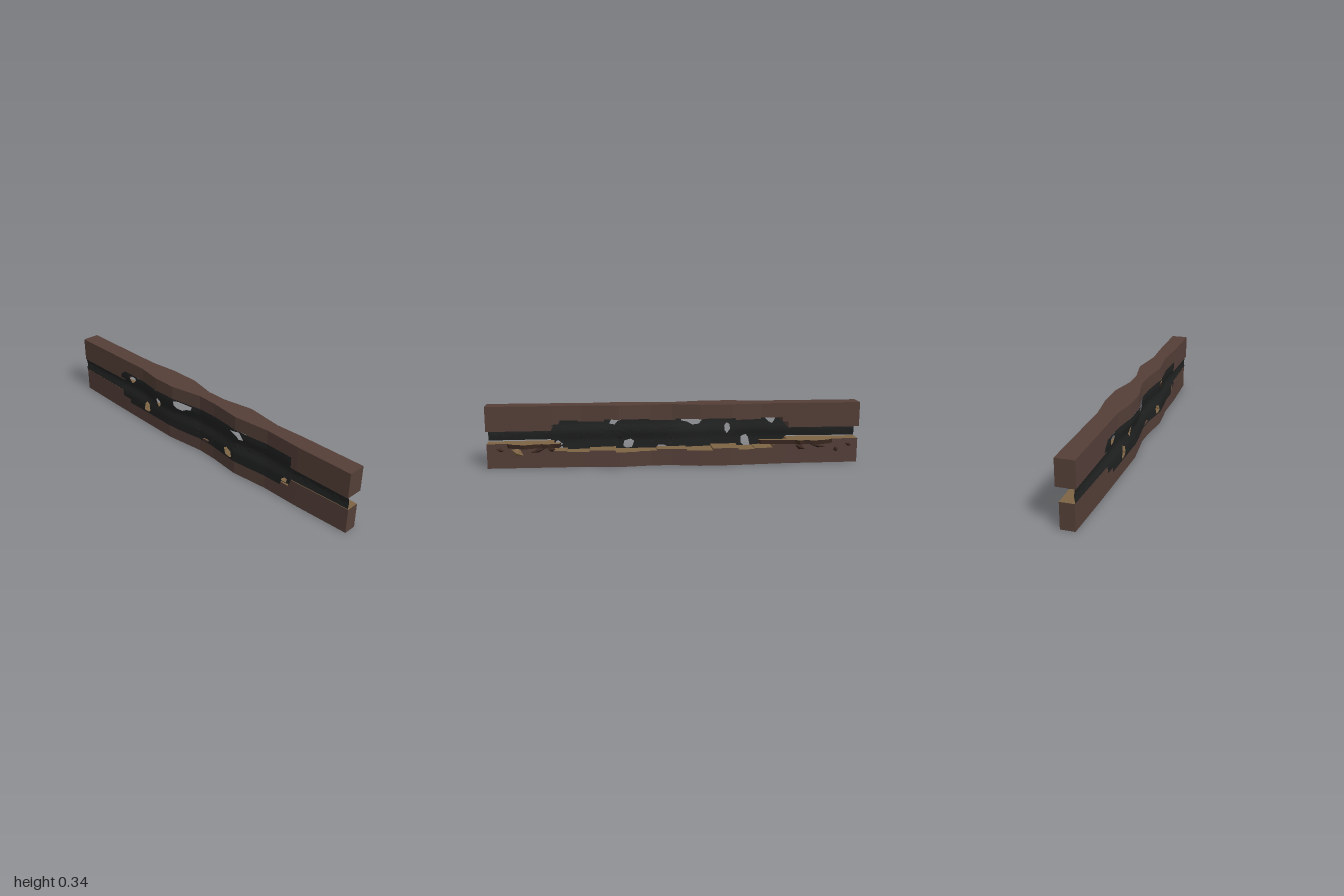
import * as THREE from 'three';

const mat = (name, color, side = THREE.FrontSide) => {
  const m = new THREE.MeshStandardMaterial({ color, side });
  m.name = name;
  return m;
};

// Plan outlines of the two planks: [x, z]
const UPPER_FRONT = [[-1, .05], [-.44, .05], [-.3, .073], [-.16, .073], [.02, .037], [.13, .04], [.3, .06], [.5, .04], [.7, .05], [1, .05]];
const UPPER_BACK = [[-1, -.045], [-.46, -.045], [-.3, -.064], [-.13, -.064], [.02, -.03], [.13, -.03], [.3, -.06], [.5, -.033], [.65, -.04], [1, -.043]];
const LOWER_FRONT = [[-1, .042], [-.7, .052], [-.45, .058], [-.2, .063], [.02, .038], [.13, .042], [.3, .062], [.5, .044], [.7, .046], [1, .037]];
const LOWER_BACK = [[-1, -.03], [-.6, -.035], [-.3, -.056], [-.13, -.056], [.02, -.028], [.13, -.028], [.3, -.05], [.5, -.03], [1, -.03]];

// Broken inner edges, stepped along x: [start x, y]
const UPPER_EDGE = [[-1, .202], [-.61, .235], [-.58, .258], [-.46, .25], [-.32, .26], [-.17, .257], [.0, .25], [.14, .258], [.24, .26], [.38, .25], [.52, .256], [.62, .235], [.66, .202]];
const LOWER_EDGE = [[-1, .133], [-.61, .108], [-.53, .09], [-.43, .085], [-.34, .095], [-.2, .084], [-.06, .09], [.1, .082], [.2, .08], [.32, .09], [.46, .083], [.58, .09], [.65, .133]];

function sample(profile, x) {
  for (let i = 1; i < profile.length; i++) {
    const [x0, a] = profile[i - 1], [x1, b] = profile[i];
    if (x <= x1) return a + (b - a) * (x - x0) / (x1 - x0);
  }
  return profile[profile.length - 1][1];
}

// Rectangular sections lofted along x; the step faces join changes of height
function plank(name, front, back, edge, flat, isUpper, woodMat, cutMat) {
  const outer = [], cut = [];
  const quad = (list, a, b, c, d) => list.push(...a, ...b, ...c, ...a, ...c, ...d);
  const section = (x, y) => {
    const f = sample(front, x), b = sample(back, x);
    const lo = isUpper ? y : flat, hi = isUpper ? flat : y;
    return [[x, lo, f], [x, hi, f], [x, hi, b], [x, lo, b]];
  };
  const stations = [...new Set([...front, ...back, ...edge].map(p => p[0]))].sort((a, b) => a - b);
  const edgeAt = x => edge.filter(p => p[0] <= x).pop()[1];
  const [k, m] = isUpper ? [0, 3] : [1, 2];
  let lastY = null;
  for (let i = 0; i < stations.length - 1; i++) {
    const y = edgeAt(stations[i]);
    const A = section(stations[i], y), B = section(stations[i + 1], y);
    if (lastY === null) quad(outer, A[0], A[1], A[2], A[3]);
    else if (lastY !== y) {
      const P = section(stations[i], lastY);
      if (isUpper) quad(cut, A[k], P[k], P[m], A[m]);
      else quad(cut, P[k], A[k], A[m], P[m]);
    }
    quad(outer, A[0], B[0], B[1], A[1]);
    quad(outer, B[3], A[3], A[2], B[2]);
    quad(isUpper ? outer : cut, A[1], B[1], B[2], A[2]);
    quad(isUpper ? cut : outer, A[3], B[3], B[0], A[0]);
    lastY = y;
  }
  const E = section(1, lastY);
  quad(outer, E[3], E[2], E[1], E[0]);
  const geo = new THREE.BufferGeometry();
  geo.setAttribute('position', new THREE.Float32BufferAttribute([...outer, ...cut], 3));
  geo.addGroup(0, outer.length / 3, 0);
  geo.addGroup(outer.length / 3, cut.length / 3, 1);
  geo.computeVertexNormals();
  const mesh = new THREE.Mesh(geo, [woodMat, cutMat]);
  mesh.name = name;
  return mesh;
}

// Torn sheet: flat outline with holes, subdivided and draped over the planks
function tornSheet(material) {
  const pts = list => list.map(([x, y]) => new THREE.Vector2(x, y));
  const shape = new THREE.Shape(pts([
    [-1, .136], [-.62, .136], [-.62, .1], [-.55, .1], [-.55, .076], [-.25, .078], [-.12, .074], [.1, .078], [.3, .074],
    [.6, .076], [.61, .1], [.66, .105], [.67, .138], [1, .138], [1, .204], [.69, .204], [.665, .215], [.665, .263], [.4, .26],
    [.25, .265], [.0, .26], [-.2, .264], [-.45, .26], [-.6, .263], [-.635, .235], [-.645, .2], [-1, .2]]));
  const holes = [
    [[-.56, .245], [-.535, .254], [-.505, .25], [-.5, .238], [-.52, .218], [-.54, .208], [-.555, .228]],
    [[-.305, .205], [-.29, .212], [-.277, .195], [-.278, .17], [-.292, .153], [-.31, .178]],
    [[-.155, .25], [-.12, .257], [-.03, .252], [-.038, .23], [-.07, .222], [-.1, .205], [-.135, .208], [-.152, .225]],
    [[.265, .245], [.33, .258], [.345, .238], [.355, .218], [.325, .212], [.31, .23]],
    [[-.41, .13], [-.395, .148], [-.37, .135], [-.368, .1], [-.385, .082], [-.42, .084]],
    [[.22, .12], [.24, .132], [.275, .12], [.28, .09], [.26, .08], [.232, .086]],
    [[.607, .112], [.63, .132], [.645, .125], [.64, .106], [.612, .104]],
    [[.035, .088], [.06, .099], [.09, .1], [.095, .086], [.06, .082]],
  ];
  holes.forEach(h => shape.holes.push(new THREE.Path(pts(h))));
  const flat = new THREE.ShapeGeometry(shape).toNonIndexed().getAttribute('position');
  const out = [];
  const drape = ([x, y]) => {
    const t = THREE.MathUtils.smoothstep(y, .12, .24);
    const z = THREE.MathUtils.lerp(sample(LOWER_FRONT, x), sample(UPPER_FRONT, x), t);
    return [x, y, z + .004 - .01 * Math.sin(Math.PI * t)];
  };
  // Turn each triangle until its longest side comes first, then halve that side
  const len = (p, q) => Math.hypot(p[0] - q[0], p[1] - q[1]);
  const split = (a, b, c) => {
    const ab = len(a, b), longest = Math.max(ab, len(b, c), len(c, a));
    if (longest < .035) {
      out.push(...drape(a), ...drape(b), ...drape(c));
    } else if (ab < longest) {
      split(b, c, a);
    } else {
      const mid = [(a[0] + b[0]) / 2, (a[1] + b[1]) / 2];
      split(a, mid, c);
      split(mid, b, c);
    }
  };
  const v = i => [flat.getX(i), flat.getY(i)];
  for (let i = 0; i < flat.count; i += 3) split(v(i), v(i + 1), v(i + 2));
  const geo = new THREE.BufferGeometry();
  geo.setAttribute('position', new THREE.Float32BufferAttribute(out, 3));
  geo.computeVertexNormals();
  const mesh = new THREE.Mesh(geo, material);
  mesh.name = 'tornSheet';
  return mesh;
}

export function createModel() {
  const model = new THREE.Group();
  model.name = 'brokenPlanks';
  const wood = mat('dark wood', 0x543f38);
  const rawWood = mat('raw wood', 0x7d6344);
  const shade = mat('splintered wood', 0x38261f);
  const sheet = mat('black sheet', 0x202121, THREE.DoubleSide);

  model.add(plank('upperPlank', UPPER_FRONT, UPPER_BACK, UPPER_EDGE, .335, true, wood, wood));
  model.add(plank('lowerPlank', LOWER_FRONT, LOWER_BACK, LOWER_EDGE, 0, false, wood, rawWood));
  model.add(tornSheet(sheet));

  // Splintered lips on the back of the lower plank: plan points are [x, depth backwards]
  const lips = [
    [[-.87, .02], [-.45, .02], [-.46, .042], [-.54, .048], [-.65, .055], [-.67, .074], [-.7, .062], [-.75, .075], [-.8, .068], [-.84, .05]],
    [[.61, .02], [.9, .02], [.88, .045], [.84, .06], [.8, .073], [.75, .058], [.71, .05], [.68, .062], [.65, .048], [.62, .058]],
  ];
  lips.forEach((list, i) => {
    const shape = new THREE.Shape(list.map(([x, d]) => new THREE.Vector2(x, d)));
    const geo = new THREE.ExtrudeGeometry(shape, { depth: .022, bevelEnabled: false }).rotateX(-Math.PI / 2);
    const lip = new THREE.Mesh(geo, [rawWood, shade]);
    lip.position.y = .1115;
    lip.name = i ? 'leftSplinterLip' : 'rightSplinterLip';
    model.add(lip);
  });

  // Loose shards below the lips: [x, y, length, height, depth, tilt]
  const shards = [
    [.84, .085, .07, .05, .035, .5], [.73, .095, .09, .02, .02, -.3], [.93, .1, .05, .02, .02, .3], [.66, .1, .04, .03, .03, 0],
    [-.68, .09, .06, .03, .03, .4], [-.78, .095, .1, .02, .02, .2], [-.88, .075, .03, .03, .02, -.5], [-.95, .1, .04, .02, .02, .3],
  ];
  shards.forEach(([x, y, l, h, d, tilt], i) => {
    const shard = new THREE.Mesh(new THREE.OctahedronGeometry(.5), i === 0 ? rawWood : shade);
    shard.scale.set(l, h, d * 1.6);
    shard.position.set(x, y, sample(LOWER_BACK, x));
    shard.rotation.z = tilt;
    shard.name = 'shard';
    model.add(shard);
  });
  return model;
}
